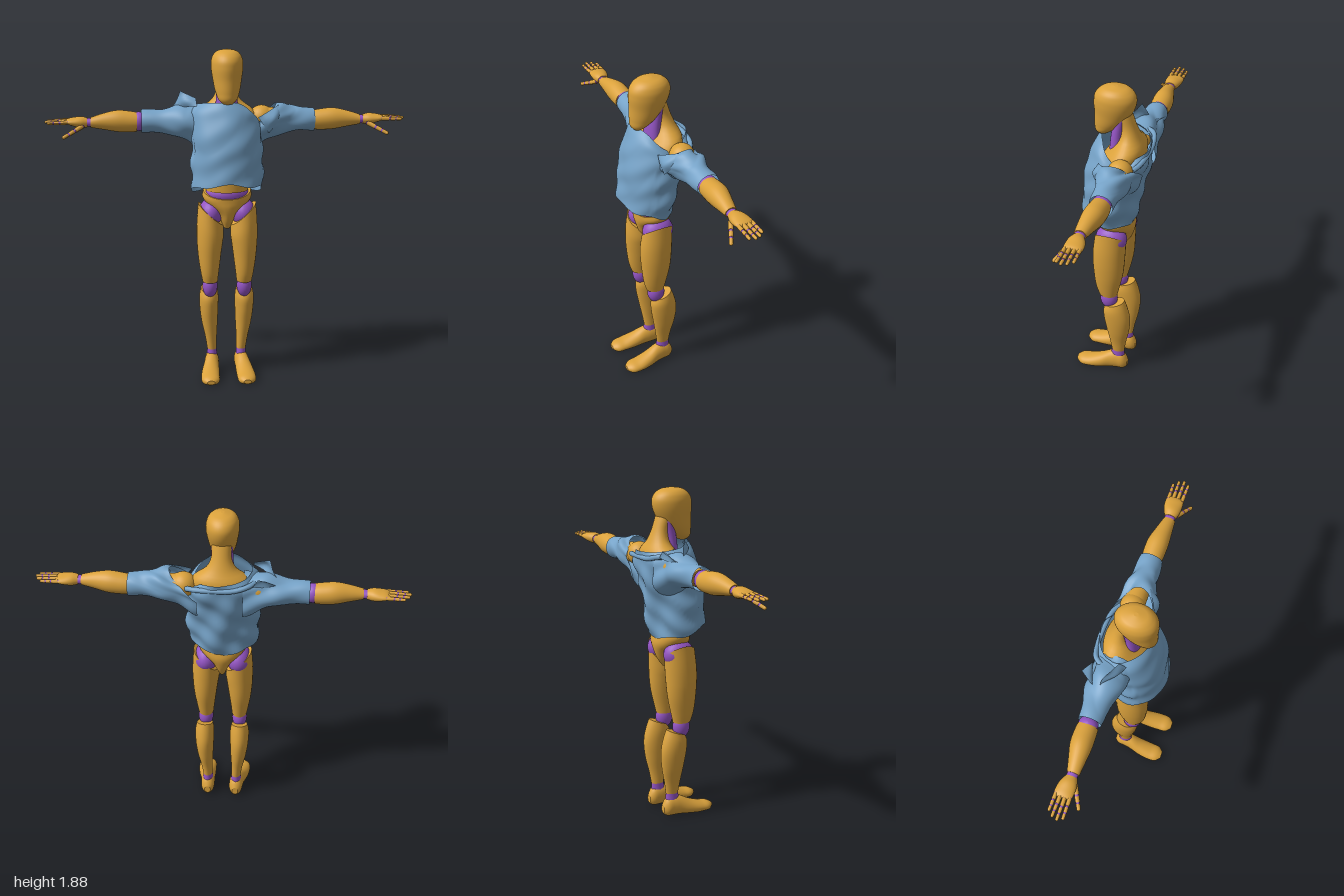
import * as THREE from 'three';

const mat = (name, color, side = THREE.FrontSide) => {
  const m = new THREE.MeshStandardMaterial({ color, side });
  m.name = name;
  return m;
};

// Places (t along the axis, p and q across it) into x, y, z
const AXES = {
  y: (t, p, q) => [p, t, q],
  x: (t, p, q) => [t, q, p],
  z: (t, p, q) => [q, p, t],
};

// Smooth skin over elliptical sections [t, p, q, radiusP, radiusQ], t ascending
function loft(axis, sections, { sides = 28, steps = 22, caps = true, warp } = {}) {
  const spline = new THREE.CubicInterpolant(
    sections.map(s => s[0]), sections.flatMap(s => s.slice(1)), 4, new Float32Array(4));
  const t0 = sections[0][0], t1 = sections[sections.length - 1][0];
  const pos = [], idx = [];
  const place = (t, p, q, a, k) => {
    const v = new THREE.Vector3(...AXES[axis](t, p, q));
    if (warp) warp(v, a, k);
    pos.push(v.x, v.y, v.z);
  };
  const ring = k => {
    const t = t0 + (t1 - t0) * k, [p, q, rp, rq] = spline.evaluate(t);
    for (let j = 0; j < sides; j++) {
      const a = j / sides * Math.PI * 2;
      place(t, p + rp * Math.cos(a), q + rq * Math.sin(a), a, k);
    }
  };
  for (let i = 0; i <= steps; i++) ring(i / steps);
  for (let i = 0; i < steps; i++) for (let j = 0; j < sides; j++) {
    const a = i * sides + j, b = i * sides + (j + 1) % sides;
    idx.push(a, a + sides, b, b, a + sides, b + sides);
  }
  if (caps) for (const k of [0, 1]) {
    const base = pos.length / 3;
    ring(k);
    const c = new THREE.Vector3();
    for (let j = 0; j < sides; j++) c.add(new THREE.Vector3().fromArray(pos, (base + j) * 3));
    c.divideScalar(sides);
    pos.push(c.x, c.y, c.z);
    for (let j = 0; j < sides; j++) {
      const a = base + j, b = base + (j + 1) % sides;
      idx.push(base + sides, ...(k ? [b, a] : [a, b]));
    }
  }
  const g = new THREE.BufferGeometry();
  g.setAttribute('position', new THREE.Float32BufferAttribute(pos, 3));
  g.setIndex(idx);
  g.computeVertexNormals();
  return g;
}

const ball = (x, y, z, rx, ry, rz) =>
  new THREE.SphereGeometry(1, 24, 16).scale(rx, ry, rz).translate(x, y, z);

// Rod between two points
function rod(a, b, r0, r1) {
  const d = b.clone().sub(a);
  const g = new THREE.CylinderGeometry(r1, r0, d.length(), 10);
  g.applyQuaternion(new THREE.Quaternion().setFromUnitVectors(new THREE.Vector3(0, 1, 0), d.clone().normalize()));
  return g.translate(...a.clone().add(b).multiplyScalar(0.5).toArray());
}

function mirrorX(g) {
  g.scale(-1, 1, 1);
  const ix = g.index.array;
  for (let i = 0; i < ix.length; i += 3) [ix[i], ix[i + 1]] = [ix[i + 1], ix[i]];
  g.computeVertexNormals();
  return g;
}

// Cloth creases
const crease = (x, y, z) =>
  0.006 * Math.sin(31 * x + 17 * y + 9 * z) + 0.005 * Math.sin(47 * y - 26 * x + 21 * z)
  + 0.006 * (Math.abs(Math.sin(14 * y + 19 * z - 11 * x)) - 0.5);

// Rumpled four-cornered piece of cloth
function flap(corners, bulge) {
  const c = corners.map(p => new THREE.Vector3(...p));
  const g = new THREE.PlaneGeometry(1, 1, 8, 8), p = g.attributes.position;
  const n = c[1].clone().sub(c[0]).cross(c[3].clone().sub(c[0])).normalize();
  for (let i = 0; i < p.count; i++) {
    const u = p.getX(i) + 0.5, v = p.getY(i) + 0.5;
    const q = c[0].clone().lerp(c[1], u).lerp(c[3].clone().lerp(c[2], u), v);
    q.addScaledVector(n, bulge * Math.sin(u * Math.PI) * Math.sin(v * Math.PI) + crease(q.x, q.y, q.z));
    p.setXYZ(i, q.x, q.y, q.z);
  }
  g.computeVertexNormals();
  return g;
}

export function createModel() {
  const group = new THREE.Group();
  const skin = mat('ochre body', 0xdba23c);
  const joint = mat('purple joint', 0x9455c4);
  const cloth = mat('blue cloth', 0x76a3c8, THREE.DoubleSide);
  const add = (name, geo, m) => {
    const mesh = new THREE.Mesh(geo, m);
    mesh.name = name;
    group.add(mesh);
  };
  const pair = (name, make, m) => {
    add(name + 'Left', make(), m);
    add(name + 'Right', mirrorX(make()), m);
  };

  // Head, neck and trunk
  add('head', loft('y', [
    [1.592, 0, 0.07, 0.025, 0.025], [1.61, 0, 0.066, 0.046, 0.044], [1.65, 0, 0.042, 0.064, 0.073],
    [1.72, 0, 0.015, 0.079, 0.1], [1.79, 0, 0.003, 0.088, 0.115], [1.83, 0, 0.001, 0.084, 0.109],
    [1.86, 0, 0, 0.067, 0.083], [1.875, 0, 0, 0.042, 0.052], [1.881, 0, 0, 0.01, 0.012]], { steps: 40, sides: 36 }), skin);
  add('neck', loft('y', [[1.52, 0, -0.015, 0.066, 0.045], [1.6, 0, -0.018, 0.06, 0.04], [1.73, 0, -0.04, 0.056, 0.042]]), joint);
  add('chest', loft('y', [
    [1.1, 0, 0.005, 0.118, 0.095], [1.2, 0, 0, 0.13, 0.1], [1.35, 0, -0.02, 0.155, 0.12], [1.47, 0, -0.05, 0.168, 0.115],
    [1.54, 0, -0.08, 0.148, 0.085], [1.59, 0, -0.083, 0.085, 0.058], [1.64, 0, -0.075, 0.057, 0.045],
    [1.73, 0, -0.045, 0.052, 0.045]], { steps: 36 }), skin);
  add('waist', ball(0, 1.08, 0, 0.122, 0.07, 0.093), joint);
  add('pelvis', loft('y', [
    [0.88, 0, -0.01, 0.02, 0.045], [0.92, 0, -0.01, 0.036, 0.075], [0.97, 0, -0.012, 0.062, 0.094],
    [1.02, 0, -0.012, 0.112, 0.103], [1.06, 0, -0.008, 0.138, 0.1], [1.1, 0, -0.003, 0.134, 0.096]],
    { warp: (v, a, k) => { v.y -= 0.04 * k ** 3 * Math.max(0, Math.sin(a)); } }), skin);

  // Legs
  pair('hip', () => ball(0.092, 0.965, -0.005, 0.068, 0.08, 0.09), joint);
  pair('thigh', () => loft('y', [
    [0.565, 0.097, 0.012, 0.043, 0.053], [0.61, 0.099, 0.014, 0.05, 0.066], [0.72, 0.1, 0.01, 0.065, 0.085],
    [0.85, 0.096, 0.008, 0.076, 0.093], [0.96, 0.092, 0, 0.071, 0.089]],
    { warp: v => { v.y += 0.9 * (v.x - 0.092) * THREE.MathUtils.clamp((v.y - 0.8) / 0.16, 0, 1); } }), skin);
  pair('knee', () => ball(0.098, 0.535, 0.008, 0.043, 0.068, 0.051), joint);
  pair('shin', () => loft('y', [
    [0.135, 0.085, -0.045, 0.028, 0.038], [0.2, 0.09, -0.045, 0.033, 0.048], [0.3, 0.098, -0.047, 0.046, 0.067],
    [0.4, 0.102, -0.042, 0.054, 0.078], [0.47, 0.102, -0.032, 0.054, 0.07], [0.51, 0.101, -0.03, 0.046, 0.055]],
    { warp: (v, a, k) => { v.y -= 0.02 * k ** 4 * Math.sin(a); } }), skin);
  pair('ankle', () => loft('y', [[0.09, 0.085, -0.042, 0.03, 0.042], [0.145, 0.085, -0.045, 0.026, 0.036]], { steps: 3 }), joint);
  pair('foot', () => loft('z', [
    [-0.102, 0.04, 0.083, 0.025, 0.018], [-0.085, 0.048, 0.084, 0.05, 0.034], [-0.04, 0.055, 0.086, 0.062, 0.041],
    [0, 0.05, 0.09, 0.06, 0.043], [0.06, 0.032, 0.098, 0.047, 0.05], [0.13, 0.02, 0.104, 0.034, 0.053],
    [0.18, 0.017, 0.104, 0.027, 0.046], [0.205, 0.018, 0.104, 0.012, 0.022]],
    { steps: 30, warp: v => { v.y = Math.max(v.y, 0); } }), skin);

  // Arms
  pair('shoulder', () => ball(0.2, 1.49, -0.09, 0.07, 0.068, 0.068), skin);
  pair('upperArm', () => loft('x', [[0.2, -0.09, 1.49, 0.062, 0.062], [0.33, -0.088, 1.48, 0.055, 0.055], [0.45, -0.088, 1.475, 0.047, 0.047]]), skin);
  pair('elbow', () => ball(0.485, 1.475, -0.088, 0.05, 0.053, 0.052), joint);
  pair('forearm', () => loft('x', [
    [0.495, -0.087, 1.472, 0.055, 0.054], [0.53, -0.087, 1.474, 0.058, 0.058], [0.6, -0.085, 1.479, 0.058, 0.06],
    [0.68, -0.078, 1.479, 0.045, 0.045], [0.75, -0.072, 1.475, 0.033, 0.028]]), skin);
  pair('wrist', () => loft('x', [[0.735, -0.072, 1.475, 0.029, 0.024], [0.785, -0.074, 1.475, 0.029, 0.022]], { steps: 3 }), joint);
  pair('palm', () => loft('x', [
    [0.768, -0.073, 1.475, 0.031, 0.026], [0.8, -0.076, 1.477, 0.044, 0.031], [0.84, -0.079, 1.479, 0.05, 0.025],
    [0.87, -0.08, 1.481, 0.048, 0.017], [0.885, -0.08, 1.481, 0.042, 0.01]]), skin);

  // Fingers and thumb: three bones with joints between
  const digits = [
    [0.87, 1.482, -0.117, 0.965, 1.48, -0.12], [0.878, 1.484, -0.092, 0.99, 1.481, -0.095],
    [0.88, 1.484, -0.067, 1, 1.481, -0.067], [0.873, 1.481, -0.043, 0.985, 1.478, -0.04],
    [0.795, 1.458, -0.045, 0.9, 1.405, 0.01]];
  digits.forEach((d, i) => {
    const a = new THREE.Vector3(...d.slice(0, 3)), b = new THREE.Vector3(...d.slice(3));
    const at = k => a.clone().lerp(b, k), name = i < 4 ? 'finger' : 'thumb';
    const r = i < 4 ? 0.0115 : 0.014;
    [[0, 0.36], [0.44, 0.67], [0.74, 0.94]].forEach(([s, e], n) => {
      pair(name + 'Bone', () => rod(at(s), at(e), r * (1 - n * 0.1), r * (0.94 - n * 0.1)), skin);
    });
    pair(name + 'Joints', () => rod(at(-0.05), at(0.8), r * 0.85, r * 0.7), joint);
    const tip = at(0.94);
    pair(name + 'Tip', () => ball(tip.x, tip.y, tip.z, r * 0.76, r * 0.74, r * 0.74), skin);
  });

  // Shirt body: hem lower at the back, collar slipped off the left shoulder
  const rumple = (v, a, amount) => {
    const d = crease(v.x, v.y, v.z) * amount;
    v.x += d * Math.cos(a);
    v.z += d * Math.sin(a);
  };
  add('shirtBody', loft('y', [
    [1.11, 0, 0.035, 0.19, 0.15], [1.2, 0, 0.02, 0.194, 0.153], [1.3, 0, 0.008, 0.198, 0.158], [1.4, 0, -0.012, 0.198, 0.16],
    [1.48, 0, -0.035, 0.195, 0.157], [1.54, 0, -0.05, 0.18, 0.147], [1.575, 0, -0.06, 0.152, 0.132]],
    { sides: 72, steps: 44, caps: false, warp: (v, a, k) => {
      rumple(v, a, Math.sin(a) > 0.3 ? 0.5 : 1.2);
      v.y += Math.sin(a) * (0.05 - 0.025 * k) + 0.008 * Math.sin(a * 5) * (1 - k);
      v.y -= 0.08 * k ** 4 * Math.max(0, Math.cos(a)) ** 3;
    } }), cloth);

  // Sleeves: the left one starts lower down the shoulder
  const sleeve = (end, slip) => loft('x', [
    [0.12, -0.07, 1.44, 0.11, 0.13], [0.2, -0.075, 1.46, 0.1, 0.105], [0.3, -0.082, 1.477, 0.085, 0.077],
    [0.4, -0.086, 1.476, 0.069, 0.066], [end, -0.088, 1.475, 0.061, 0.062]],
    { sides: 48, steps: 30, caps: false, warp: (v, a, k) => {
      const d = crease(v.x + slip, v.y, v.z) * (1.3 - k);
      v.z += d * Math.cos(a);
      v.y += d * Math.sin(a);
      v.x = end - (end - v.x) * (1 - slip * Math.max(0, Math.sin(a)));
    } });
  add('sleeveLeft', sleeve(0.495, 0.42), cloth);
  add('sleeveRight', mirrorX(sleeve(0.47, 0)), cloth);

  // Rumpled folds at the shoulders and the rolled back of the collar
  add('foldLeftFront', flap([[0.23, 1.42, 0.03], [0.3, 1.5, 0], [0.29, 1.57, -0.02], [0.17, 1.51, 0.04]], 0.02), cloth);
  add('foldRightTop', flap([[-0.3, 1.55, -0.09], [-0.16, 1.57, 0], [-0.17, 1.61, -0.03], [-0.25, 1.645, -0.07]], 0.02), cloth);
  add('foldRightBack', flap([[-0.3, 1.53, -0.13], [-0.17, 1.54, -0.17], [-0.2, 1.58, -0.17], [-0.26, 1.59, -0.2]], 0.015), cloth);
  add('collarRoll', new THREE.TubeGeometry(new THREE.CatmullRomCurve3([
    [-0.19, 1.54, -0.11], [-0.15, 1.54, -0.165], [-0.07, 1.52, -0.185], [0.04, 1.515, -0.187],
    [0.13, 1.51, -0.175], [0.18, 1.5, -0.15]].map(p => new THREE.Vector3(...p))), 32, 0.014, 8), cloth);
  return group;
}
